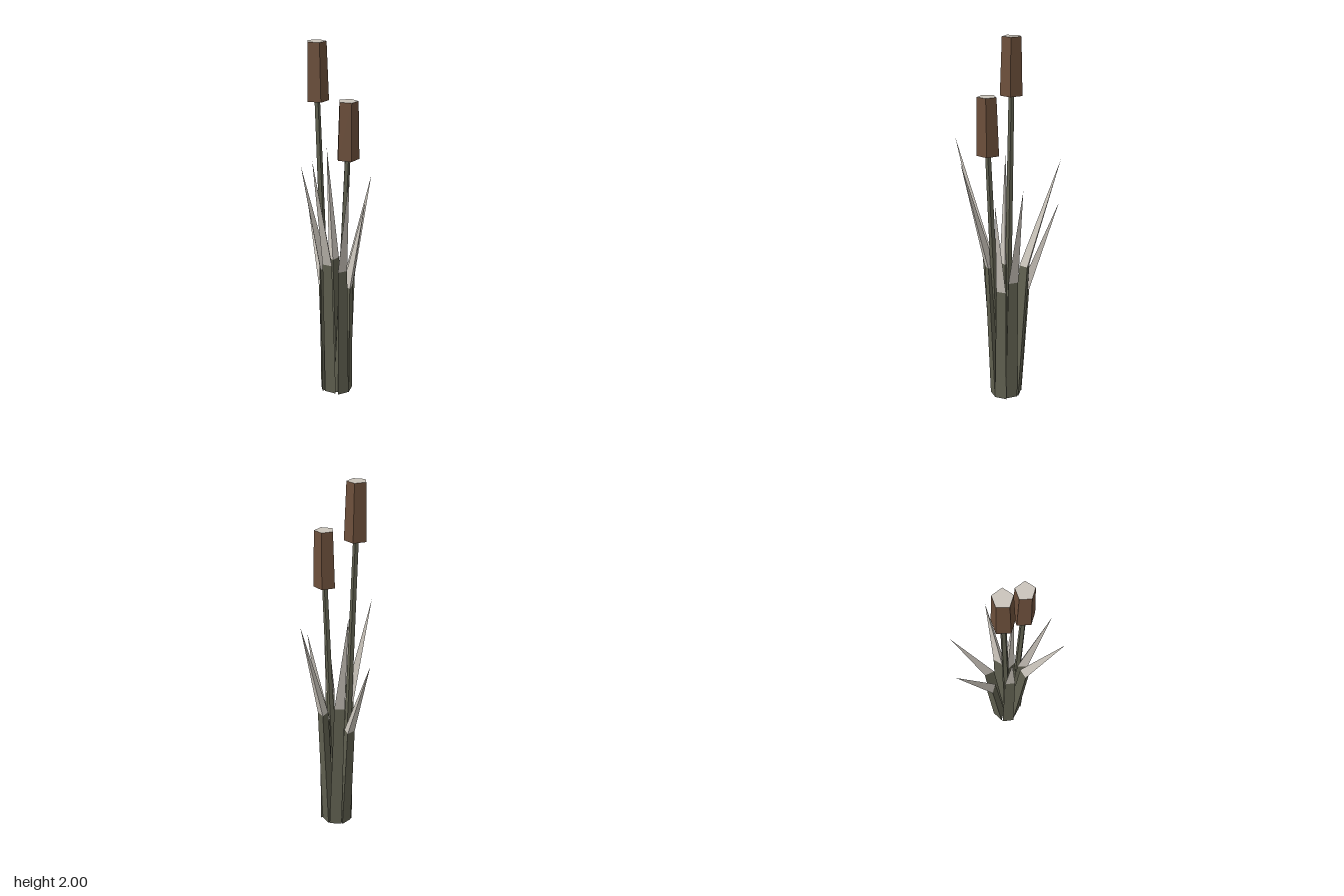
import * as THREE from 'three';

const mat = (name, color) => {
  const m = new THREE.MeshStandardMaterial({ color, flatShading: true });
  m.name = name;
  return m;
};

// Prism or taper between two level rings centred at a and b ([x, y, z])
function taper(name, a, b, ra, rb, sides, start, material) {
  const h = b[1] - a[1];
  const geo = new THREE.CylinderGeometry(rb, ra, h, sides, 1, false, start);
  const p = geo.attributes.position;
  for (let i = 0; i < p.count; i++) {
    const t = p.getY(i) / h + 0.5;
    p.setXYZ(i,
      p.getX(i) + a[0] + (b[0] - a[0]) * t,
      a[1] + h * t,
      p.getZ(i) + a[2] + (b[2] - a[2]) * t);
  }
  geo.computeVertexNormals();
  const mesh = new THREE.Mesh(geo, material);
  mesh.name = name;
  return mesh;
}

export function createModel() {
  const olive = mat('olive green', 0x606050);
  const pale = mat('pale grey', 0xcac4bb);
  const brown = mat('reed brown', 0x6c4f3b);
  const model = new THREE.Group();
  model.name = 'reeds';

  // Leaves: base, bend and tip centres; the inner ridge faces the clump centre
  const clump = [0.04, -0.037];
  const leaves = [
    [[0.03, 0, 0.012], [0.03, 0.81, 0.08], [0.005, 1.45, 0.285]],
    [[0.085, 0, 0.008], [0.09, 0.765, 0.045], [0.17, 1.36, 0.175]],
    [[0.105, 0, -0.037], [0.108, 0.64, -0.04], [0.2, 1.15, -0.04]],
    [[0.078, 0, -0.075], [0.1, 0.7, -0.095], [0.19, 1.25, -0.195]],
    [[0.03, 0, -0.09], [-0.005, 0.765, -0.128], [-0.095, 1.36, -0.29]],
    [[-0.012, 0, -0.065], [-0.05, 0.612, -0.1], [-0.2, 1.09, -0.245]],
    [[-0.018, 0, -0.012], [-0.026, 0.755, 0.004], [-0.135, 1.345, 0.05]],
  ];
  for (const [base, bend, tip] of leaves) {
    const ridge = Math.atan2(clump[0] - base[0], clump[1] - base[2]);
    const leaf = new THREE.Group();
    leaf.name = 'leaf';
    leaf.add(
      taper('leafBlade', base, bend, 0.04, 0.033, 3, ridge, olive),
      taper('leafTip', bend, tip, 0.033, 0, 3, ridge, pale));
    model.add(leaf);
  }

  // Stems with five-sided seed heads
  const reeds = [
    [[0, 0, -0.018], [-0.064, 1.69, -0.017], [-0.068, 2, -0.017]],
    [[0.055, 0, 0], [0.119, 1.4, 0.036], [0.122, 1.71, 0.04]],
  ];
  for (const [base, neck, top] of reeds) {
    const reed = new THREE.Group();
    reed.name = 'reed';
    reed.add(
      taper('stem', base, neck, 0.022, 0.016, 5, Math.PI, olive),
      taper('seedHead', neck, top, 0.063, 0.054, 5, Math.PI, [brown, pale, brown]));
    model.add(reed);
  }
  return model;
}
